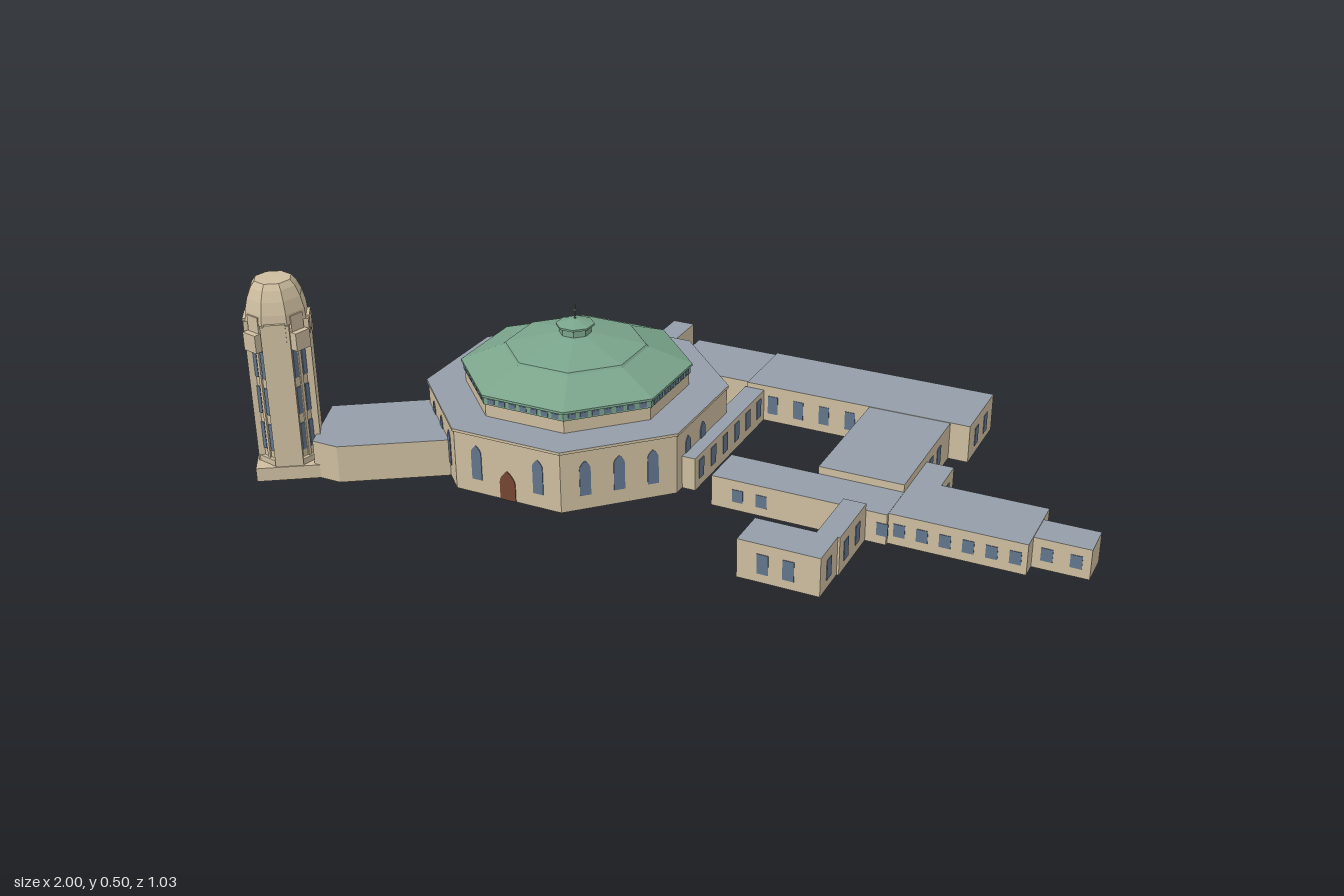
import * as THREE from 'three';

const mat = (name, color, side = THREE.FrontSide) =>
  Object.assign(new THREE.MeshStandardMaterial({ color, side }), { name });

export function createModel() {
  // Shells are open underneath, so their surfaces show from both sides
  const stone = mat('sandstone', 0xcdbd9f, THREE.DoubleSide);
  const slate = mat('slate roof', 0x949ea8, THREE.DoubleSide);
  const copper = mat('green copper', 0x7aa48b, THREE.DoubleSide);
  const glass = mat('blue glass', 0x62758c);
  const wood = mat('brown door', 0x744532);
  const metal = mat('dark metal', 0x6f7672);

  const model = new THREE.Group();
  model.name = 'domedHallComplex';
  const group = (name, parent, x = 0, z = 0, ry = 0) => {
    const g = new THREE.Group();
    g.name = name;
    g.position.set(x, 0, z);
    g.rotation.y = ry;
    parent.add(g);
    return g;
  };
  const add = (name, geo, m, parent) => {
    const mesh = new THREE.Mesh(geo, m);
    mesh.name = name;
    parent.add(mesh);
    return mesh;
  };
  const facet = (geo) => {
    const g = geo.toNonIndexed();
    g.computeVertexNormals();
    return g;
  };
  const box = (name, w, y0, y1, d, m, parent, x = 0, z = 0) =>
    add(name, new THREE.BoxGeometry(w, y1 - y0, d).translate(x, (y0 + y1) / 2, z), m, parent);
  // Box without a floor: walls, then roof, then walls
  const shell = (name, w, h, d, roof, parent) => {
    const g = new THREE.BoxGeometry(w, h, d).translate(0, h / 2, 0);
    const index = Array.from(g.index.array);
    index.splice(18, 6);
    g.setIndex(index);
    g.clearGroups();
    [[0, 12, 0], [12, 6, 1], [18, 12, 0]].forEach((r) => g.addGroup(...r));
    return add(name, g, [stone, roof], parent);
  };
  // Octagons are sized by the distance from centre to flat side
  const C8 = Math.cos(Math.PI / 8);
  const octagon = (name, pts, m, parent) =>
    add(name, facet(new THREE.LatheGeometry(pts.map(([a, y]) => new THREE.Vector2(a / C8, y)), 8)
      .rotateY(Math.PI / 8)), m, parent);
  // Pointed-arch plate standing on the xy plane
  const lancet = (w, y0, spring, top) => {
    const s = new THREE.Shape();
    s.moveTo(-w / 2, y0);
    s.lineTo(w / 2, y0);
    s.lineTo(w / 2, spring);
    s.quadraticCurveTo(w / 2, (spring + top) / 2, 0, top);
    s.quadraticCurveTo(-w / 2, (spring + top) / 2, -w / 2, spring);
    return new THREE.ExtrudeGeometry(s, { depth: 0.004, bevelEnabled: false, curveSegments: 4 });
  };

  // Octagonal hall
  const hall = group('octagonalHall', model, -0.323, -0.014);
  octagon('hallWalls', [[0.344, 0], [0.344, 0.153], [0.348, 0.153], [0.348, 0.16]], stone, hall);
  add('hallRoof', new THREE.CircleGeometry(0.348 / C8, 8).rotateX(-Math.PI / 2).rotateY(Math.PI / 8)
    .translate(0, 0.16, 0), slate, hall);
  octagon('drum', [[0.257, 0.16], [0.257, 0.193]], stone, hall);
  octagon('clerestory', [[0.257, 0.193], [0.261, 0.193], [0.261, 0.212]], copper, hall);
  octagon('domeRoof', [[0.261, 0.212], [0.265, 0.212], [0.265, 0.218], [0.165, 0.262], [0.161, 0.267],
    [0.036, 0.298]], copper, hall);
  octagon('lantern', [[0.037, 0.293], [0.037, 0.316]], copper, hall);
  octagon('lanternCap', [[0.037, 0.316], [0.044, 0.316], [0.044, 0.321], [0.01, 0.332], [0, 0.333]], copper, hall);
  add('finial', new THREE.CylinderGeometry(0.0018, 0.0018, 0.04, 6).translate(0, 0.35, 0), metal, hall);
  box('finialCrossbar', 0.016, 0.354, 0.357, 0.003, metal, hall);

  // Windows repeated round the eight sides; the front has a door in the middle
  for (let i = 0; i < 8; i++) {
    const side = group('hallSide', hall, 0, 0, i * Math.PI / 4);
    for (const k of [-1, 0, 1]) {
      if (i === 2 && k === 1) continue;
      const door = i === 0 && k === 0;
      const g = door ? lancet(0.042, 0, 0.045, 0.077) : lancet(0.027, 0.037, 0.106, 0.127);
      add(door ? 'door' : 'archedWindow', g.translate(k * 0.083, 0, 0.342), door ? wood : glass, side);
    }
    for (let k = 0; k < 7; k++)
      box('clerestoryWindow', 0.018, 0.197, 0.209, 0.003, glass, side, (k - 3) * 0.029, 0.261);
  }

  // Flat-roofed wing; n, s, e, w give a window count or a list of offsets along each side
  const wing = (name, x0, x1, z0, z1, h, windows = {}) => {
    const w = x1 - x0, d = z1 - z0;
    const g = group(name, model, (x0 + x1) / 2, (z0 + z1) / 2);
    shell(name + 'Shell', w, h, d, slate, g);
    const sides = { s: [0, w, d], e: [1, d, w], n: [2, w, d], w: [3, d, w] };
    const top = h > 0.08 ? 0.071 : 0.054;
    for (const [key, spec] of Object.entries(windows)) {
      const [turn, len, depth] = sides[key];
      const face = group('windowRow', g, 0, 0, turn * Math.PI / 2);
      const offsets = Array.isArray(spec) ? spec
        : Array.from({ length: spec }, (_, i) => ((i + 0.5) / spec - 0.5) * len);
      for (const x of offsets) box('window', 0.027, 0.022, top, 0.003, glass, face, x, depth / 2);
    }
  };
  wing('backBlockWest', -0.22, 0.008, -0.51, -0.325, 0.095);
  wing('backBlock', 0.008, 0.6, -0.515, -0.315, 0.098,
    { n: 9, e: [-0.038, 0.038], s: [-0.224, -0.154, -0.084, -0.014] });
  wing('courtyardBlock', 0.34, 0.55, -0.315, 0.03, 0.097, { w: 5, e: [0.028, 0.088] });
  wing('chimneyBlock', -0.29, -0.232, -0.5, -0.345, 0.143);
  wing('linkCorridor', 0.003, 0.055, -0.315, 0.1, 0.085, { e: 6 });
  wing('sidePorch', 0.55, 0.617, -0.135, -0.04, 0.077, { e: 1 });
  wing('southWing', 0.118, 0.55, 0.03, 0.145, 0.078,
    { w: 1, s: [-0.149, -0.089, 0.206], n: [0.054, 0.114, 0.174] });
  wing('eastWing', 0.55, 0.87, -0.04, 0.135, 0.077, { s: 6, n: [-0.13, -0.07, -0.01, 0.05] });
  wing('eastEnd', 0.87, 1.0, 0.01, 0.095, 0.075, { s: 2, n: 2 });
  wing('southStem', 0.445, 0.5, 0.145, 0.31, 0.095, { e: [-0.042, 0.03], w: 2 });
  wing('southFoot', 0.3, 0.495, 0.31, 0.41, 0.096, { s: [-0.036, 0.024], e: 1, n: [0.0, 0.06] });

  // Slanted annex between hall and tower, open where it runs into the hall
  const plan = [[-0.66, 0.105], [-0.877, 0.25], [-0.805, 0.428], [-0.735, 0.428], [-0.5, 0.275]];
  const annex = group('annex', model);
  const outline = new THREE.Shape(plan.map(([x, z]) => new THREE.Vector2(x, -z)));
  add('annexRoof', new THREE.ShapeGeometry(outline).rotateX(-Math.PI / 2).translate(0, 0.096, 0), slate, annex);
  for (let i = 0; i < plan.length - 1; i++) {
    const [[ax, az], [bx, bz]] = [plan[i], plan[i + 1]];
    const wall = group('annexWall', annex, (ax + bx) / 2, (az + bz) / 2, Math.atan2(az - bz, bx - ax));
    add('annexWallPanel', new THREE.PlaneGeometry(Math.hypot(bx - ax, bz - az), 0.096)
      .translate(0, 0.048, 0), stone, wall);
  }

  // Bell tower, with diagonal piers and windowed bays between them
  const tower = group('tower', model, -0.892, 0.402, 0.58);
  shell('towerBase', 0.16, 0.035, 0.155, stone, tower);
  octagon('towerShaft', [[0.074, 0.035], [0.074, 0.05], [0.065, 0.05], [0.065, 0.4]], stone, tower);
  octagon('towerCrown', [[0.065, 0.4], [0.07, 0.4], [0.068, 0.425], [0.061, 0.455], [0.051, 0.48],
    [0.041, 0.494], [0, 0.495]], stone, tower);
  for (let i = 0; i < 4; i++) {
    const pier = group('pierSide', tower, 0, 0, i * Math.PI / 2);
    box('pier', 0.066, 0.035, 0.4, 0.03, stone, pier, 0, 0.06);
    box('pierCap', 0.05, 0.36, 0.405, 0.03, stone, pier, 0, 0.062);
    const bay = group('windowBay', tower, 0, 0, i * Math.PI / 2 + Math.PI / 4);
    for (const x of [-0.013, 0.013])
      for (const y of [0.07, 0.165, 0.26])
        box('towerWindow', 0.011, y, y + 0.07, 0.005, glass, bay, x, 0.065);
    box('bayMullion', 0.008, 0.05, 0.4, 0.008, stone, bay, 0, 0.065);
    box('balcony', 0.042, 0.335, 0.38, 0.024, stone, bay, 0, 0.075);
    box('crownRib', 0.036, 0.38, 0.42, 0.01, stone, bay, 0, 0.067);
  }
  return model;
}
